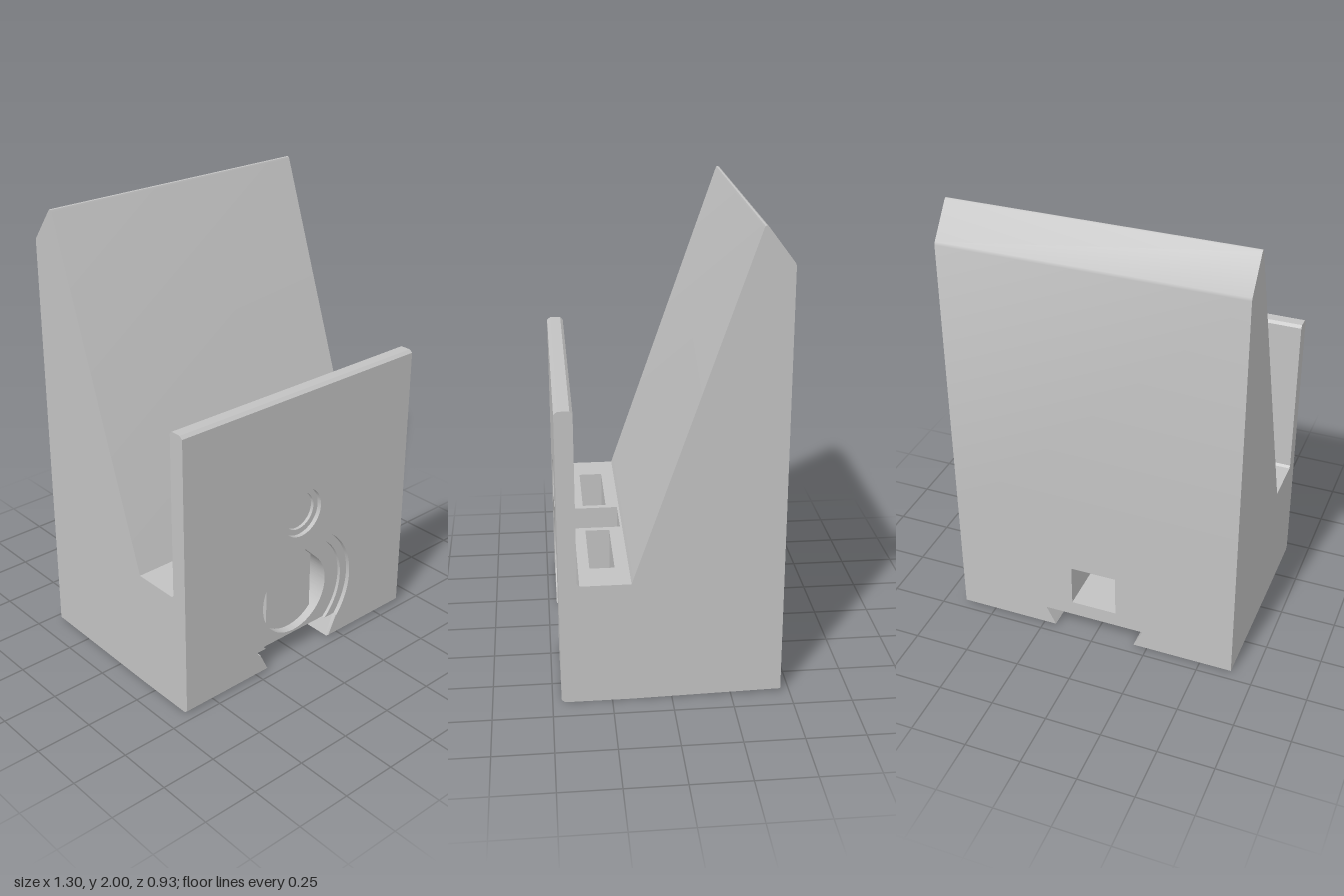
import * as THREE from 'three';
import { toCreasedNormals } from 'three/addons/utils/BufferGeometryUtils.js';

const W = 0.648, D = 0.4625, FLOOR = 0.54, WALL = 1.296, BEVEL = 0.012;
const BORE = 0.188, CY = 0.3, PILLAR = 0.132, SHAFT = 0.104, SHAFT_Y = 0.17;

const poly = (pts) => new THREE.Shape(pts.map(([x, y]) => new THREE.Vector2(x, y)));

// Cross-section with the dovetail groove below; optional round recess and top shaft
function section(h, { recess, shaft } = {}) {
  const s = new THREE.Shape();
  s.moveTo(-W, 0);
  s.lineTo(-0.19, 0);
  s.lineTo(-0.233, 0.1);
  if (recess) {
    const a = Math.asin((CY - 0.1) / recess);
    s.absarc(0, CY, recess, Math.PI + a, -a, true);
  }
  s.lineTo(0.233, 0.1);
  s.lineTo(0.19, 0);
  s.lineTo(W, 0);
  s.lineTo(W, h);
  if (shaft) {
    s.lineTo(SHAFT, h);
    s.lineTo(SHAFT, SHAFT_Y);
    s.lineTo(-SHAFT, SHAFT_Y);
    s.lineTo(-SHAFT, h);
  }
  s.lineTo(-W, h);
  s.closePath();
  return s;
}

function circleHole(y, r) {
  return new THREE.Path().absarc(0, y, r, 0, Math.PI * 2, false);
}

// Round bore with a flattened peak
function bore() {
  const p = new THREE.Path();
  p.absarc(0, CY, BORE, Math.PI * 0.75, Math.PI * 2.25, false);
  p.lineTo(0.063, 0.503);
  p.lineTo(-0.063, 0.503);
  p.closePath();
  return p;
}

// Bore openings left and right of the central pillar
function sideOpenings() {
  const a = Math.acos(PILLAR / BORE);
  return [0, Math.PI].map((m) => {
    const p = new THREE.Path();
    p.absarc(0, CY, BORE, m - a, m + a, false);
    p.closePath();
    return p;
  });
}

export function createModel() {
  const model = new THREE.Group();
  const grey = new THREE.MeshStandardMaterial({ color: 0xc2c2c2 });
  grey.name = 'light grey';

  function add(name, geo) {
    const mesh = new THREE.Mesh(toCreasedNormals(geo, 0.45), grey);
    mesh.name = name;
    model.add(mesh);
  }

  // Slice of the body between two depths, with its outer edges eased
  function slab(name, shape, z0, z1, holes = []) {
    shape.holes.push(...holes);
    const geo = new THREE.ExtrudeGeometry(shape, { depth: z1 - z0, bevelEnabled: false, curveSegments: 48 });
    geo.translate(0, 0, z0);
    const p = geo.attributes.position;
    for (let i = 0; i < p.count; i++) {
      const y = p.getY(i), z = p.getZ(i);
      if (Math.abs(z) > D - 1e-4 && y < 1e-4) p.setY(i, BEVEL);
      const wallEdge = z > D - 1e-4 || Math.abs(z - 0.388) < 1e-4;
      if (wallEdge && y > WALL - 1e-4) p.setY(i, WALL - BEVEL);
    }
    add(name, geo);
  }

  // Profile given as [z, y], run across the full width
  function across(name, pts) {
    const geo = new THREE.ExtrudeGeometry(poly(pts.map(([z, y]) => [-z, y])), { depth: 2 * W, bevelEnabled: false });
    geo.rotateY(Math.PI / 2);
    geo.translate(-W, 0, 0);
    add(name, geo);
  }

  // Front wall: two stepped recesses, then the bore
  slab('frontWallOuterRecess', section(WALL, { recess: 0.31 }), 0.4475, D, [circleHole(0.724, 0.112)]);
  slab('frontWallOuterStep', section(WALL, { recess: 0.31 }), 0.4425, 0.4475, [circleHole(0.724, 0.112)]);
  slab('frontWallInnerRecess', section(WALL, { recess: 0.27 }), 0.4275, 0.4425, [circleHole(0.724, 0.086)]);
  slab('frontWallBore', section(WALL), 0.4, 0.4275, [bore()]);
  slab('frontWallBack', section(WALL), 0.388, 0.4, [bore()]);

  // Block under the trough, with the cable shaft and bore openings
  slab('pillarFront', section(FLOOR), 0.378, 0.388, sideOpenings());
  slab('shaftFront', section(FLOOR, { shaft: true }), 0.33, 0.378, sideOpenings());
  slab('shaftBack', section(FLOOR, { shaft: true }), 0.175, 0.225);

  // Slotted layer: outer blocks either side of the pillar
  for (const s of [1, -1]) {
    const pts = [[0.19, 0], [W, 0], [W, FLOOR], [0.495, FLOOR], [0.495, 0.07], [0.22, 0.07]];
    slab('slotBlock', poly(pts.map(([x, y]) => [s * x, y])), 0.225, 0.33);
  }
  slab('slotPillar', poly([
    [-PILLAR, 0.1], [PILLAR, 0.1], [PILLAR, FLOOR], [SHAFT, FLOOR],
    [SHAFT, SHAFT_Y], [-SHAFT, SHAFT_Y], [-SHAFT, FLOOR], [-PILLAR, FLOOR],
  ]), 0.225, 0.33);

  // Rear base with the square cable tunnel
  const tunnel = poly([[-SHAFT, SHAFT_Y], [SHAFT, SHAFT_Y], [SHAFT, 0.365], [-SHAFT, 0.365]]);
  slab('rearBase', section(FLOOR), -D, 0.175, [tunnel]);

  // Leaning backrest and the small fillet at the foot of the front wall
  across('backrest', [
    [0.166, FLOOR], [-D, FLOOR], [-D, 1.845], [-0.458, 1.857],
    [-0.354, 1.995], [-0.346, 2], [-0.34, 1.998], [-0.336, 1.99],
  ]);
  across('troughFillet', [[0.388, FLOOR], [0.378, FLOOR], [0.381, 0.543], [0.385, 0.547], [0.388, 0.55]]);

  return model;
}
